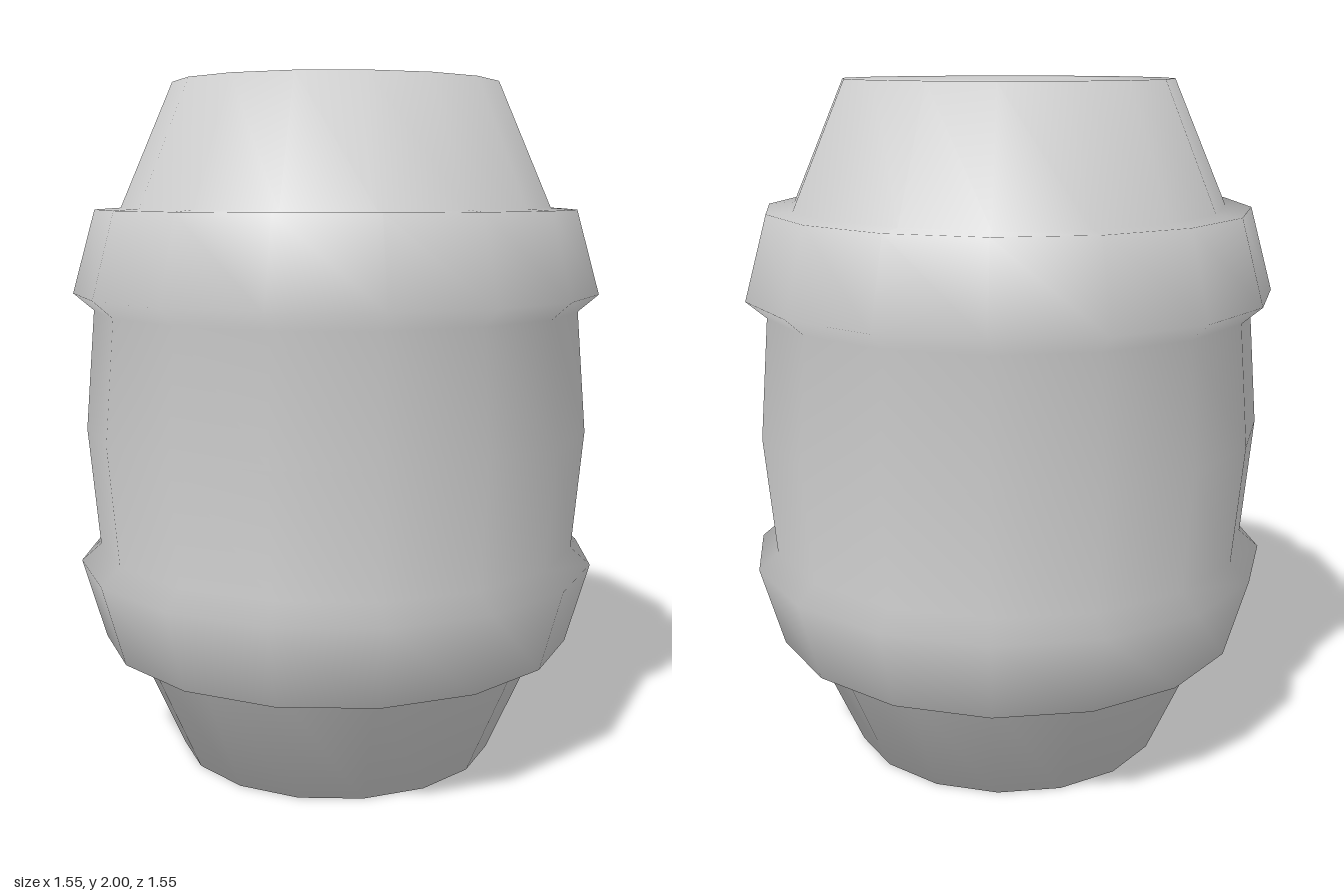
import * as THREE from 'three';

export function createModel() {
  const group = new THREE.Group();
  group.name = 'barrel';

  // Lower half of the profile [radius, y]: flat end, tapered end, hoop, bulge
  const lower = [
    [0, 0], [0.25, 0], [0.475, 0], // flat end
    [0.63, 0.355], // tapered staves up to the hoop
    [0.705, 0.36], [0.773, 0.6], [0.715, 0.65], // raised hoop
  ];
  // Mirror about mid height, with the widest point of the bulge between
  const upper = lower.map(([r, y]) => [r, 2 - y]).reverse();
  const profile = [...lower, [0.745, 1], ...upper].map(([r, y]) => new THREE.Vector2(r, y));

  // One smooth-shaded skin with sixteen sides
  const body = new THREE.Mesh(
    new THREE.LatheGeometry(profile, 16),
    new THREE.MeshStandardMaterial({ color: 0xcccccc })
  );
  body.name = 'barrelBodyWithHoops';
  group.add(body);

  return group;
}
